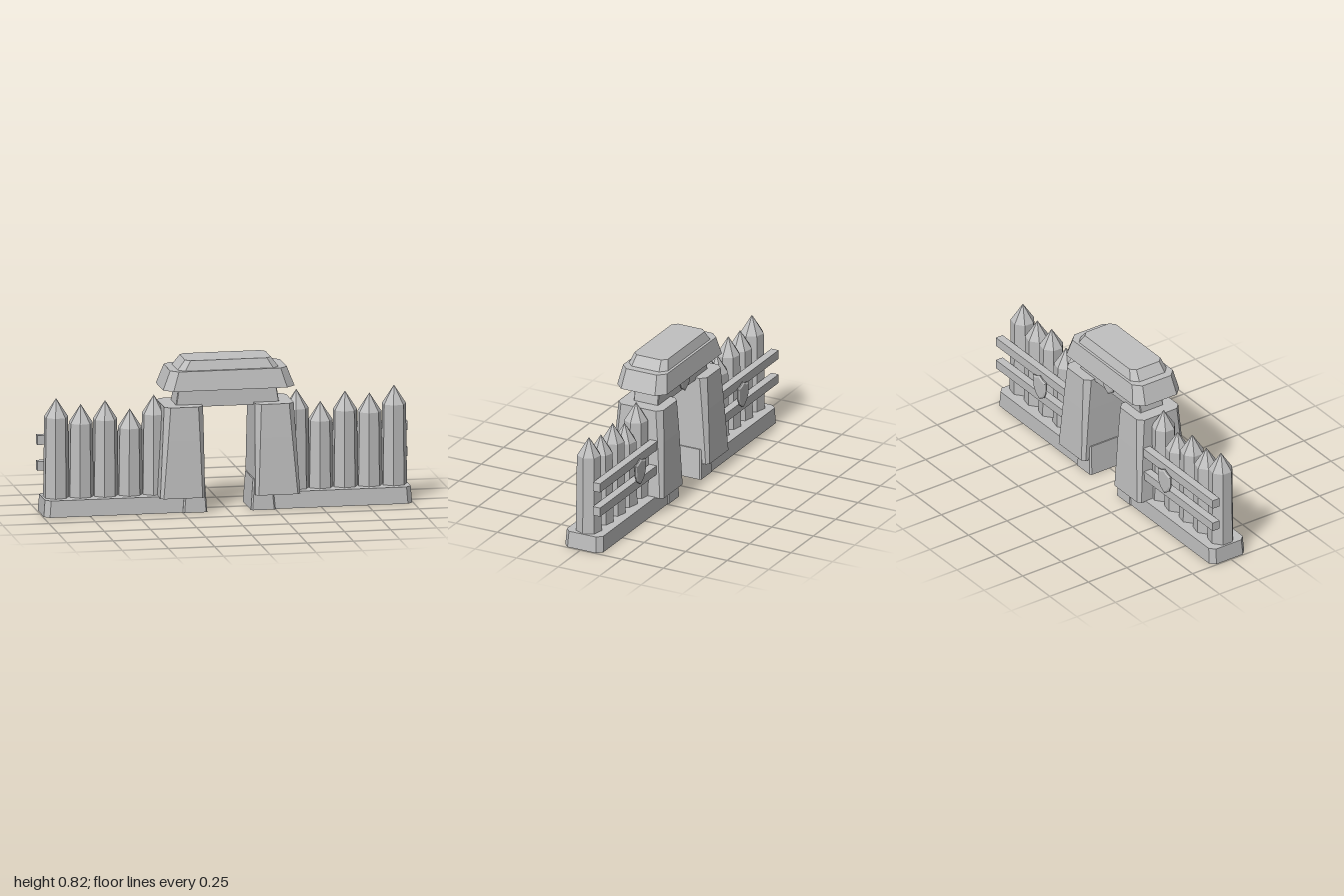
import * as THREE from 'three';

// Octagonal plan (rectangle with cut corners): [y, x0, x1, z0, z1, corner cut]
function ring([y, x0, x1, z0, z1, c]) {
  return [
    [x1, z0 + c], [x1, z1 - c], [x1 - c, z1], [x0 + c, z1],
    [x0, z1 - c], [x0, z0 + c], [x0 + c, z0], [x1 - c, z0],
  ].map(([x, z]) => [x, y, z]);
}

// Stacks plans from bottom to top into a faceted block
function loft(levels, openBottom = false) {
  const rings = levels.map(ring);
  const pos = [];
  const tri = (a, b, c) => pos.push(...a, ...b, ...c);
  for (let k = 0; k < rings.length - 1; k++) {
    const lo = rings[k], hi = rings[k + 1];
    for (let i = 0; i < 8; i++) {
      const j = (i + 1) % 8;
      tri(lo[i], hi[i], lo[j]);
      tri(lo[j], hi[i], hi[j]);
    }
  }
  const top = rings[rings.length - 1], bottom = rings[0];
  for (let i = 1; i < 7; i++) {
    tri(top[0], top[i + 1], top[i]);
    if (!openBottom) tri(bottom[0], bottom[i], bottom[i + 1]);
  }
  const g = new THREE.BufferGeometry();
  g.setAttribute('position', new THREE.Float32BufferAttribute(pos, 3));
  g.computeVertexNormals();
  return g;
}

// Mirrors plan levels to the side s = 1 or -1
const onSide = (s, levels) => levels.map(([y, a, b, ...rest]) =>
  s > 0 ? [y, a, b, ...rest] : [y, -b, -a, ...rest]);

export function createModel() {
  const model = new THREE.Group();
  model.name = 'palisadeGate';
  const grey = new THREE.MeshStandardMaterial({
    color: 0xc0c0c0, flatShading: true, side: THREE.DoubleSide,
  });
  grey.name = 'plain grey';

  const add = (parent, name, geometry, x = 0, y = 0, z = 0) => {
    const m = new THREE.Mesh(geometry, grey);
    m.name = name;
    m.position.set(x, y, z);
    parent.add(m);
    return m;
  };

  // Shield outline, origin at its tip; bevelled rim
  const outline = new THREE.Shape();
  [[0, 0.012], [0.032, 0.035], [0.047, 0.065], [0.05, 0.12], [0.025, 0.125], [0, 0.138],
    [-0.025, 0.125], [-0.05, 0.12], [-0.047, 0.065], [-0.032, 0.035]]
    .forEach(([x, y], i) => (i ? outline.lineTo(x, y) : outline.moveTo(x, y)));
  const shieldGeo = new THREE.ExtrudeGeometry(outline, {
    depth: 0.006, bevelEnabled: true, bevelThickness: 0.006, bevelSize: 0.009, bevelSegments: 1,
  });

  // Sharpened logs: seven-sided, slightly tapered, a corner towards +x
  const log = (parent, x, height) => {
    const g = new THREE.Group();
    g.name = 'log';
    const shoulder = height - 0.1, low = 0.08;
    const trunk = new THREE.CylinderGeometry(0.065, 0.071, shoulder - low, 7, 1, false, Math.PI / 2);
    const tip = new THREE.ConeGeometry(0.065, 0.1, 7, 1, true, Math.PI / 2);
    add(g, 'logTrunk', trunk, x, (shoulder + low) / 2, -0.005);
    add(g, 'logTip', tip, x, height - 0.05, -0.005);
    parent.add(g);
  };

  for (const s of [1, -1]) {
    const wall = new THREE.Group();
    wall.name = s > 0 ? 'leftWall' : 'rightWall';
    model.add(wall);

    // Hollow footing under the logs
    add(wall, 'footing', loft(onSide(s, [
      [0, 0.2, 0.995, -0.12, 0.108, 0.028],
      [0.09, 0.2, 0.988, -0.117, 0.103, 0.028],
    ]), true));

    // Row of logs
    [[0.385, 0.622], [0.515, 0.552], [0.648, 0.602], [0.78, 0.587], [0.913, 0.624]]
      .forEach(([x, h]) => log(wall, s * x, h));

    // Two rails behind the logs
    for (const y of [0.384, 0.244]) {
      add(wall, 'rail', new THREE.BoxGeometry(0.72, 0.05, 0.044), s * 0.64, y, -0.097);
    }
    add(wall, 'wallShield', shieldGeo, s * 0.575, 0.245, -0.134);

    // Gate pillar and the plinth at its foot
    add(model, 'pillar', loft(onSide(s, [
      [0.087, 0.136, 0.378, -0.16, 0.16, 0.016],
      [0.395, 0.138, 0.36, -0.146, 0.146, 0.025],
      [0.575, 0.14, 0.35, -0.135, 0.135, 0.03],
    ])));
    add(model, 'plinth', loft(onSide(s, [
      [0, 0.118, 0.25, -0.125, 0.12, 0.008],
      [0.168, 0.13, 0.235, -0.118, 0.112, 0.008],
    ]), true));
  }

  // Lintel, its shield, and the two-tier capstone
  add(model, 'lintel', loft([
    [0.562, -0.28, 0.28, -0.08, 0.068, 0.004],
    [0.68, -0.262, 0.262, -0.078, 0.065, 0.004],
  ]));
  add(model, 'lintelShield', shieldGeo, 0, 0.557, -0.094);
  add(model, 'capstone', loft([
    [0.665, -0.355, 0.355, -0.15, 0.15, 0.048],
    [0.768, -0.315, 0.315, -0.132, 0.132, 0.04],
    [0.768, -0.272, 0.272, -0.117, 0.117, 0.035],
    [0.82, -0.232, 0.232, -0.1, 0.1, 0.026],
  ]));
  return model;
}
